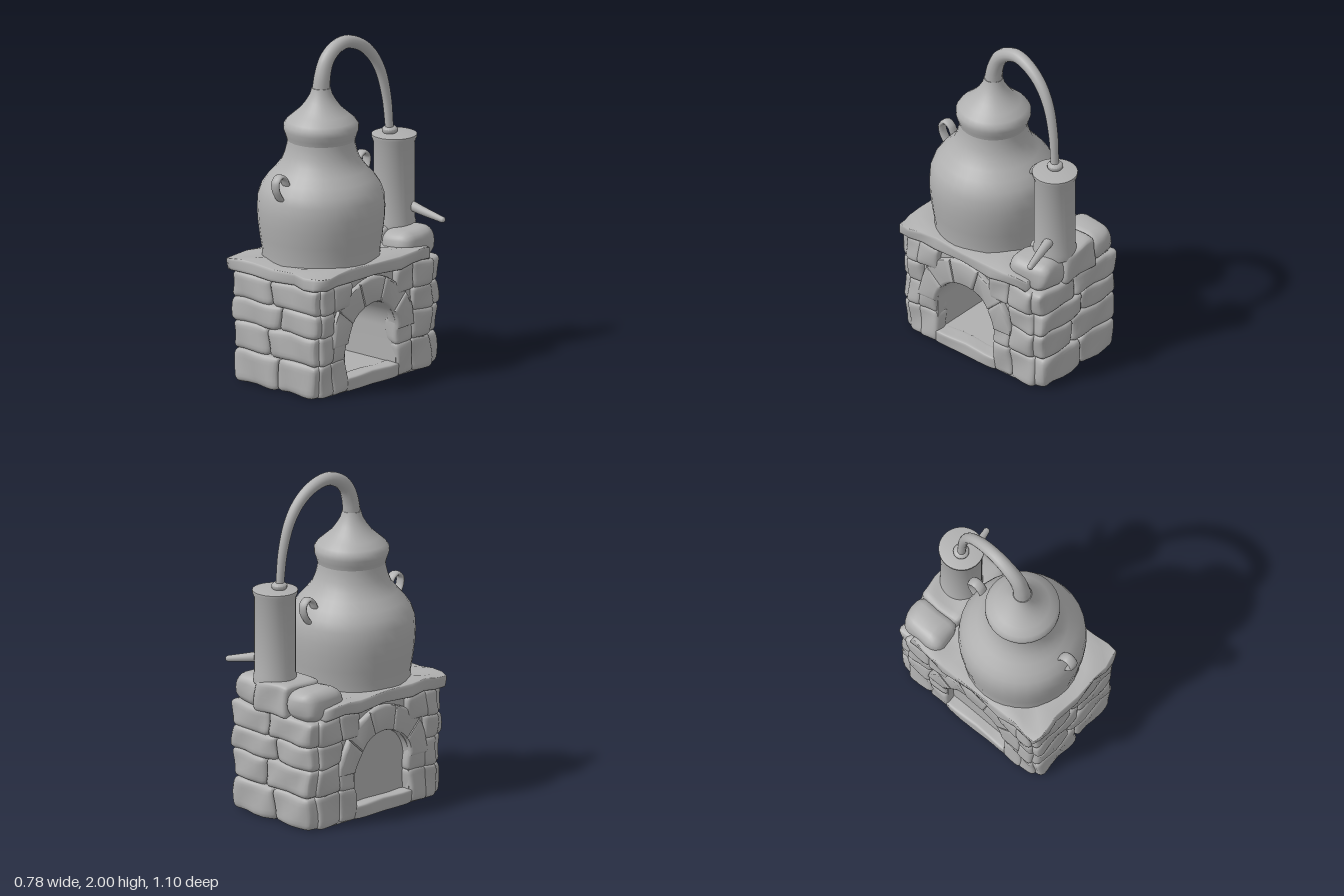
import * as THREE from 'three';
import { mergeVertices, toCreasedNormals } from 'three/addons/utils/BufferGeometryUtils.js';

const grey = new THREE.MeshStandardMaterial({ color: 0xb0b0b0 });
grey.name = 'plain grey';

const POT_Z = 0.125;                      // axis of the pot
const ARCH = { z: 0.055, y: 0.285, rx: 0.215, ry: 0.205, floor: 0.08 };

export function createModel() {
  const model = new THREE.Group();
  model.name = 'still';
  model.position.x = -0.012;

  const add = (name, geometry, parent = model) => {
    const mesh = new THREE.Mesh(geometry, grey);
    mesh.name = name;
    parent.add(mesh);
    return mesh;
  };
  const group = (name) => {
    const g = new THREE.Group();
    g.name = name;
    model.add(g);
    return g;
  };

  // Uneven hand-cut surface: a smooth wobble that depends on position only
  const wobble = (geometry, amount) => {
    const p = geometry.attributes.position;
    for (let i = 0; i < p.count; i++) {
      const x = p.getX(i), y = p.getY(i), z = p.getZ(i);
      p.setXYZ(i,
        x + amount * Math.sin(23 * y + 17 * z + 5 * x),
        Math.max(0, y + amount * 0.7 * Math.sin(19 * x + 21 * z + 1)),
        z + amount * Math.sin(25 * x + 18 * y + 2));
    }
    return geometry;
  };

  // Rounded stone filling the given range on each axis
  const stone = (name, parent, [x0, x1], [y0, y1], [z0, z1], round = 0.025, amount = 0.007) => {
    let geo = new THREE.BoxGeometry(2, 2, 2, 8, 8, 8);
    geo.deleteAttribute('uv');
    geo.deleteAttribute('normal');
    geo = mergeVertices(geo);
    const p = geo.attributes.position;
    const half = new THREE.Vector3(x1 - x0, y1 - y0, z1 - z0).multiplyScalar(0.5);
    const inner = half.clone().subScalar(round);
    const v = new THREE.Vector3(), c = new THREE.Vector3();
    const spread = (t) => Math.sign(t) * Math.pow(Math.abs(t), 0.6);
    for (let i = 0; i < p.count; i++) {
      v.fromBufferAttribute(p, i);
      v.set(spread(v.x), spread(v.y), spread(v.z)).multiply(half);
      c.copy(v).clamp(inner.clone().negate(), inner);
      v.sub(c).setLength(round).add(c);
      p.setXYZ(i, v.x + (x0 + x1) / 2, v.y + (y0 + y1) / 2, v.z + (z0 + z1) / 2);
    }
    wobble(geo, amount);
    geo.computeVertexNormals();
    return add(name, geo, parent);
  };

  // Extrudes a (z, y) outline across x, centred on x = 0
  const acrossX = (shape, width, bevel = 0) => {
    const geo = new THREE.ExtrudeGeometry(shape, {
      depth: width - 2 * bevel, curveSegments: 20, bevelEnabled: bevel > 0,
      bevelSize: bevel, bevelThickness: bevel, bevelOffset: -bevel, bevelSegments: 2,
    });
    return geo.translate(0, 0, bevel - width / 2).rotateY(-Math.PI / 2);
  };

  // Furnace body with the arched fire opening
  const body = new THREE.Shape([[-0.4, 0], [0.42, 0], [0.42, 0.67], [-0.4, 0.67]]
    .map(([z, y]) => new THREE.Vector2(z, y)));
  const opening = new THREE.Path();
  opening.moveTo(ARCH.z - ARCH.rx, ARCH.floor);
  opening.lineTo(ARCH.z + ARCH.rx, ARCH.floor);
  opening.lineTo(ARCH.z + ARCH.rx, ARCH.y);
  opening.absellipse(ARCH.z, ARCH.y, ARCH.rx, ARCH.ry, 0, Math.PI, false);
  body.holes.push(opening);
  add('furnaceBody', toCreasedNormals(acrossX(body, 0.64), 0.6));
  const wall = add('fireboxWall', new THREE.BoxGeometry(0.05, 0.46, 0.46));
  wall.position.set(-0.25, 0.28, ARCH.z);

  // Front and back courses of stones, set in a little from the sides
  const stones = group('furnaceStones');
  const rows = [[0, 0.2], [0.195, 0.37], [0.36, 0.51], [0.5, 0.66]];
  rows.forEach((row, i) => {
    const joint = [0.02, -0.05, 0.04, -0.03][i];
    const w = 0.335 + 0.007 * i;
    for (const [z0, z1, j, name] of [
      [0.37, 0.535, joint, 'frontStone'], [-0.53, -0.35, -joint, 'backStone']]) {
      stone(name, stones, [-w + 0.02, j], row, [z0, z1], 0.035);
      stone(name, stones, [j, w - 0.02], row, [z0, z1], 0.035);
    }
    // Side courses next to the corners
    for (const s of [-1, 1]) {
      const xs = s > 0 ? [0.24, w] : [-w, -0.24];
      stone('sideStone', stones, xs, row, [0.375, 0.49], 0.03);
      stone('sideStone', stones, xs, row, [-0.46, -0.28], 0.03);
      if (i === 3) {
        stone('sideStone', stones, xs, row, [0.24, 0.4]);
        stone('sideStone', stones, xs, row, [-0.29, -0.14]);
      }
    }
  });

  // Jambs and sill of the opening, on both sides
  for (const s of [-1, 1]) {
    const xs = s > 0 ? [0.24, 0.34] : [-0.34, -0.24];
    for (const [z0, z1] of [[0.267, 0.4], [-0.29, -0.157]]) {
      stone('jambStone', stones, xs, [0, 0.2], [z0, z1]);
      stone('jambStone', stones, xs, [0.19, 0.36], [z0, z1]);
    }
    stone('sillStone', stones, xs, [0, 0.085], [-0.17, 0.28], 0.015, 0.004);
  }

  // Arch stones, one ring on each side
  const archStones = group('archStones');
  const count = 5;
  for (let i = 0; i < count; i++) {
    const pts = [];
    for (const [rx, ry, back] of [[0.35, 0.36, false], [ARCH.rx, ARCH.ry, true]]) {
      for (let k = 0; k <= 5; k++) {
        const a = Math.PI * (i + (back ? 5 - k : k) / 5) / count;
        pts.push(new THREE.Vector2(ARCH.z + rx * Math.cos(a), ARCH.y + ry * Math.sin(a)));
      }
    }
    for (const s of [-1, 1]) {
      const geo = acrossX(new THREE.Shape(pts), 0.09, 0.016).translate(s * 0.304, 0, 0);
      add('archStone', toCreasedNormals(wobble(geo, 0.006), 0.9), archStones);
    }
  }

  // Top slab and the raised stones at the back
  stone('topSlab', model, [-0.365, 0.365], [0.65, 0.74], [-0.42, 0.54], 0.025, 0.011);
  const ledge = group('backLedge');
  stone('ledgeStone', ledge, [-0.335, -0.11], [0.64, 0.83], [-0.535, -0.235], 0.085);
  stone('ledgeStone', ledge, [-0.14, 0.13], [0.64, 0.835], [-0.54, -0.26], 0.03);
  stone('ledgeStone', ledge, [0.09, 0.325], [0.64, 0.83], [-0.535, -0.235], 0.085);

  // Turned parts
  const turned = (name, profile, x, z, segments = 32) => {
    const geo = new THREE.LatheGeometry(profile.map(([r, y]) => new THREE.Vector2(r, y)), segments);
    const mesh = add(name, toCreasedNormals(geo, 0.8));
    mesh.position.set(x, 0, z);
    return mesh;
  };
  turned('pot', [[0, 0.72], [0.34, 0.72], [0.342, 0.78], [0.355, 0.86], [0.366, 0.95], [0.37, 1.02],
    [0.365, 1.1], [0.345, 1.155], [0.31, 1.205], [0.265, 1.255], [0.23, 1.3], [0.21, 1.35],
    [0.198, 1.4], [0.195, 1.45], [0, 1.45]], 0, POT_Z);
  turned('potHead', [[0, 1.42], [0.198, 1.425], [0.205, 1.45], [0.217, 1.485], [0.217, 1.515],
    [0.2, 1.54], [0.16, 1.575], [0.12, 1.61], [0.09, 1.65], [0.066, 1.69], [0.055, 1.73],
    [0, 1.735]], 0, POT_Z);
  turned('condenser', [[0, 0.8], [0.125, 0.8], [0.125, 0.84], [0.12, 0.86], [0.12, 1.31],
    [0.132, 1.34], [0.132, 1.355], [0.12, 1.358], [0, 1.362]], 0.08, -0.41);
  turned('pipeCollar', [[0, 1.35], [0.035, 1.355], [0.046, 1.37], [0.046, 1.385], [0.034, 1.397],
    [0, 1.397]], 0.06, -0.395, 20);

  // Tube whose radius narrows from r0 to r1, faster at first when ease is below 1
  const taperedTube = (name, points, r0, r1, segments, ease) => {
    const curve = new THREE.CatmullRomCurve3(points.map((q) => new THREE.Vector3(...q)));
    const radial = 14;
    const geo = new THREE.TubeGeometry(curve, segments, 1, radial, false);
    const p = geo.attributes.position, n = geo.attributes.normal;
    for (let i = 0; i < p.count; i++) {
      const t = Math.floor(i / (radial + 1)) / segments;
      const k = THREE.MathUtils.lerp(r0, r1, Math.pow(t, ease)) - 1;
      p.setXYZ(i, p.getX(i) + n.getX(i) * k, p.getY(i) + n.getY(i) * k, p.getZ(i) + n.getZ(i) * k);
    }
    return add(name, geo);
  };
  taperedTube('swanNeckPipe', [[0, 1.7, 0.127], [0, 1.8, 0.113], [0, 1.885, 0.078],
    [0.002, 1.94, 0.012], [0.008, 1.962, -0.07], [0.02, 1.934, -0.17], [0.032, 1.862, -0.262],
    [0.043, 1.75, -0.33], [0.053, 1.58, -0.374], [0.06, 1.37, -0.393]], 0.056, 0.024, 48, 0.6);

  // Outlet spout with a closed end
  taperedTube('spout', [[0.12, 0.95, -0.44], [0.25, 0.915, -0.46], [0.39, 0.88, -0.487]],
    0.034, 0.018, 8, 1);
  const tip = add('spoutTip', new THREE.SphereGeometry(0.018, 14, 8));
  tip.position.set(0.386, 0.881, -0.487);

  // Strap handles, front and back
  const loop = [[0.27, 1.165], [0.298, 1.21], [0.322, 1.255], [0.355, 1.27], [0.387, 1.243],
    [0.386, 1.198], [0.365, 1.155], [0.34, 1.122]];
  for (const turn of [0, Math.PI]) {
    const curve = new THREE.CatmullRomCurve3(loop.map(([z, y]) => new THREE.Vector3(0, y, z)));
    const geo = new THREE.TubeGeometry(curve, 28, 0.014, 10, false).scale(2.2, 1, 1);
    const handle = add(turn ? 'backHandle' : 'frontHandle', geo);
    handle.position.z = POT_Z;
    handle.rotation.y = turn;
  }

  return model;
}
